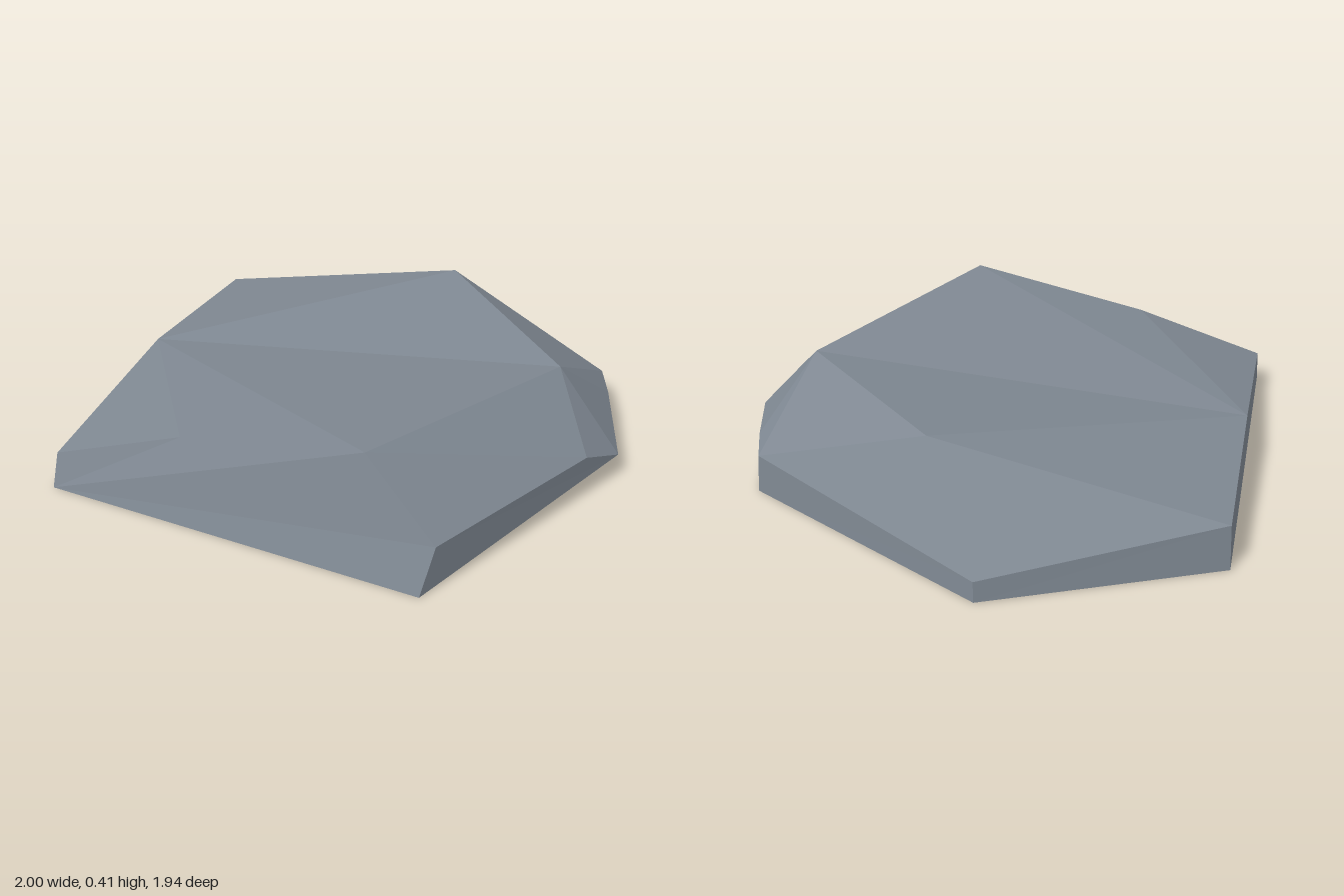
import * as THREE from 'three';

// Corners of the stone: ground ring, rim ring, crown
const corners = {
  // ground ring
  leftFoot: [-1.0, 0, 0.34], backLeftFoot: [-0.41, 0, -0.97], backRightFoot: [0.4, 0, -0.97],
  rightFoot: [1.0, 0, -0.155], sideFoot: [0.96, 0, 0.08], frontFoot: [0.21, 0, 0.97],
  // rim ring
  leftRim: [-0.98, 0.12, 0.305], slope: [-0.685, 0.2, -0.35], backLeftRim: [-0.41, 0.152, -0.955],
  backRightRim: [0.4, 0.07, -0.965], rightRim: [0.99, 0.137, -0.16], sideRim: [0.98, 0.14, 0],
  chip: [0.95, 0.093, 0.34], ledge: [0.81, 0.166, 0.465], frontRim: [0.26, 0.166, 0.935],
  // crown
  shoulder: [-0.54, 0.28, 0.47], peak: [0.05, 0.406, 0.77],
  rightPeak: [0.755, 0.355, 0.18], backPeak: [0.47, 0.366, -0.57],
};

// Each facet lists its corners anticlockwise as seen from outside
const facets = [
  // crown
  'slope leftRim shoulder',
  'slope shoulder peak rightPeak',
  'slope rightPeak backPeak',
  'slope backPeak backLeftRim',
  'backLeftRim backPeak backRightRim',
  // right-hand slopes
  'backPeak rightRim backRightRim',
  'rightPeak rightRim backPeak',
  'rightPeak sideRim rightRim',
  'rightPeak chip sideRim',
  'rightPeak ledge chip',
  'peak frontRim ledge rightPeak',
  // front wall and undercut
  'leftFoot frontFoot frontRim peak shoulder leftRim',
  'frontFoot sideFoot chip',
  'frontFoot chip frontRim',
  'frontRim chip ledge',
  // side and back walls
  'sideFoot rightFoot rightRim sideRim',
  'sideFoot sideRim chip',
  'rightFoot backRightFoot backRightRim rightRim',
  'backRightFoot backLeftFoot backLeftRim backRightRim',
  'backLeftFoot leftFoot leftRim slope backLeftRim',
  // underside
  'leftFoot backLeftFoot backRightFoot rightFoot sideFoot frontFoot',
];

function facetGeometry() {
  const positions = [];
  for (const facet of facets) {
    const ring = facet.split(' ').map((name) => corners[name]);
    for (let i = 1; i < ring.length - 1; i++) positions.push(...ring[0], ...ring[i], ...ring[i + 1]);
  }
  const geometry = new THREE.BufferGeometry();
  geometry.setAttribute('position', new THREE.Float32BufferAttribute(positions, 3));
  geometry.computeVertexNormals();
  return geometry;
}

export function createModel() {
  const stone = new THREE.MeshStandardMaterial({ color: 0x7f8892, flatShading: true });
  stone.name = 'stone grey';
  const rock = new THREE.Mesh(facetGeometry(), stone);
  rock.name = 'rock';
  const model = new THREE.Group();
  model.name = 'flat rock';
  model.add(rock);
  return model;
}
